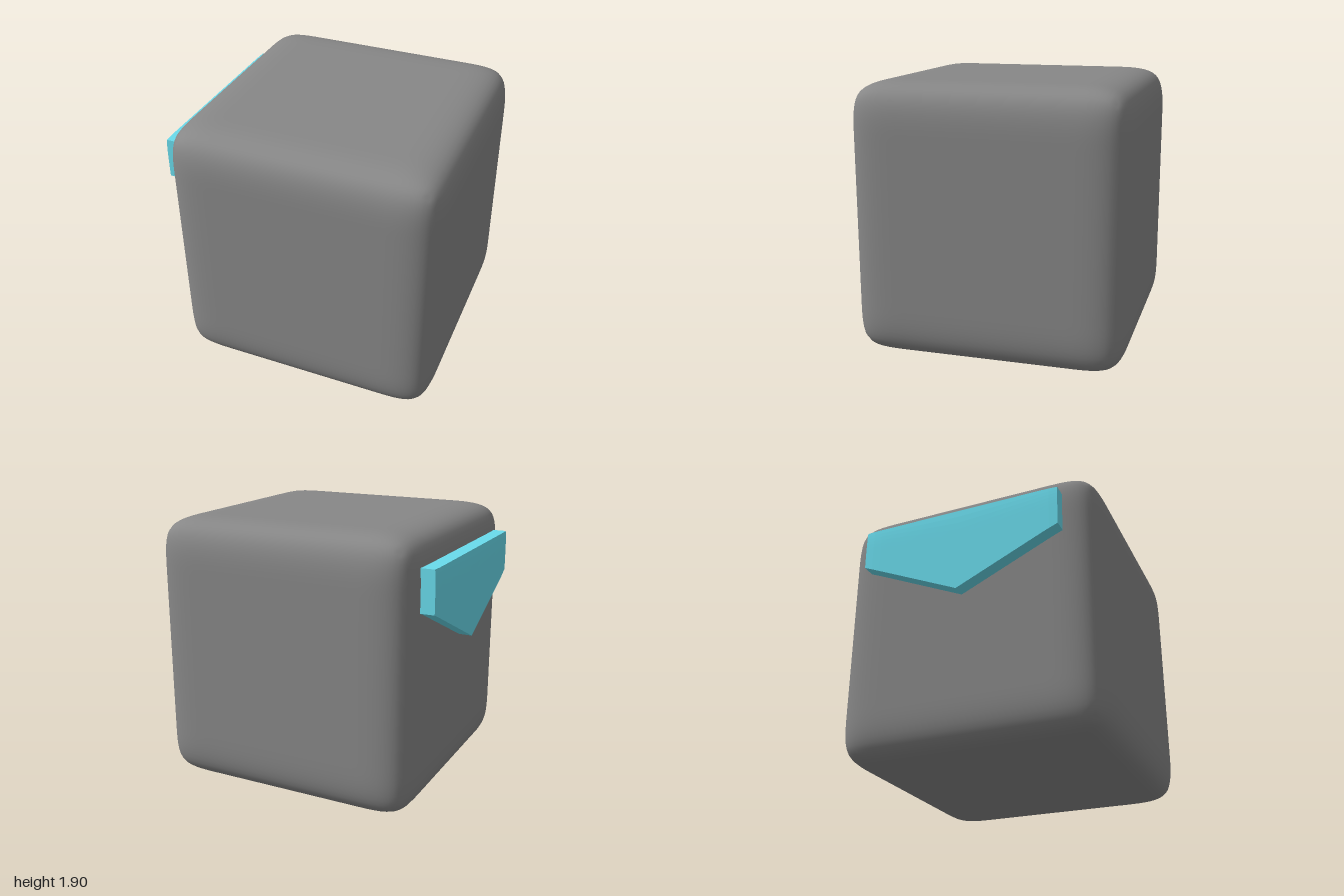
import * as THREE from 'three';
import { mergeVertices } from 'three/addons/utils/BufferGeometryUtils.js';

const HALF = 0.9525;     // half the body's edge
const D = HALF * 0.4;    // width of the rounding zone along each edge

// cubed progress through the rounding zone, 0 on the flat and 1 at the edge
const ease = (c) => Math.max(0, (Math.abs(c) - (HALF - D)) / D) ** 3;

// Cube with soft spline-rounded edges and corners
function softCube() {
  const g = new THREE.BoxGeometry(2 * HALF, 2 * HALF, 2 * HALF, 40, 40, 40);
  g.deleteAttribute('uv');
  g.deleteAttribute('normal');
  const pos = g.attributes.position;
  for (let i = 0; i < pos.count; i++) {
    const p = [pos.getX(i), pos.getY(i), pos.getZ(i)];
    const e = p.map(ease);
    const face = e.findIndex((v) => v > 0.9999);
    const q = p.map((c, a) => {
      const [j, k] = [0, 1, 2].filter((n) => n !== a);
      const inset = a === face
        ? e[j] + e[k] - 0.5 * e[j] * e[k]
        : e[a] * (1 + 0.5 * e[3 - a - face]);
      return c - Math.sign(c) * inset * D / 6;
    });
    pos.setXYZ(i, ...q);
  }
  const merged = mergeVertices(g, 1e-4);
  merged.computeVertexNormals();
  return merged;
}

// Five-sided plate, flat on top with a V-shaped lower edge, curved with the body
function platePanel() {
  const top = 1.70, endY = 1.41, tipY = 1.08, halfLen = 0.73, thick = 0.1;
  const g = new THREE.BoxGeometry(thick, 1, 2, 1, 12, 24);
  const pos = g.attributes.position;
  for (let i = 0; i < pos.count; i++) {
    const w = pos.getZ(i);
    const z = w * halfLen;
    const low = THREE.MathUtils.lerp(tipY, endY, Math.abs(w));
    const y = THREE.MathUtils.lerp(low, top, pos.getY(i) + 0.5);
    const bend = (ease(z) + ease(y - HALF)) * D / 6;
    pos.setXYZ(i, pos.getX(i) - 1 + thick / 2 + bend, y, z - 0.01);
  }
  g.computeVertexNormals();
  return g;
}

export function createModel() {
  const group = new THREE.Group();

  const body = new THREE.Mesh(softCube(), new THREE.MeshStandardMaterial({ color: 0x878787 }));
  body.name = 'roundedCubeBody';
  body.position.set(1 - HALF, HALF, 0);
  group.add(body);

  const plate = new THREE.Mesh(
    platePanel(),
    new THREE.MeshStandardMaterial({ color: 0x69dbec, flatShading: true })
  );
  plate.name = 'sidePlate';
  group.add(plate);

  return group;
}
